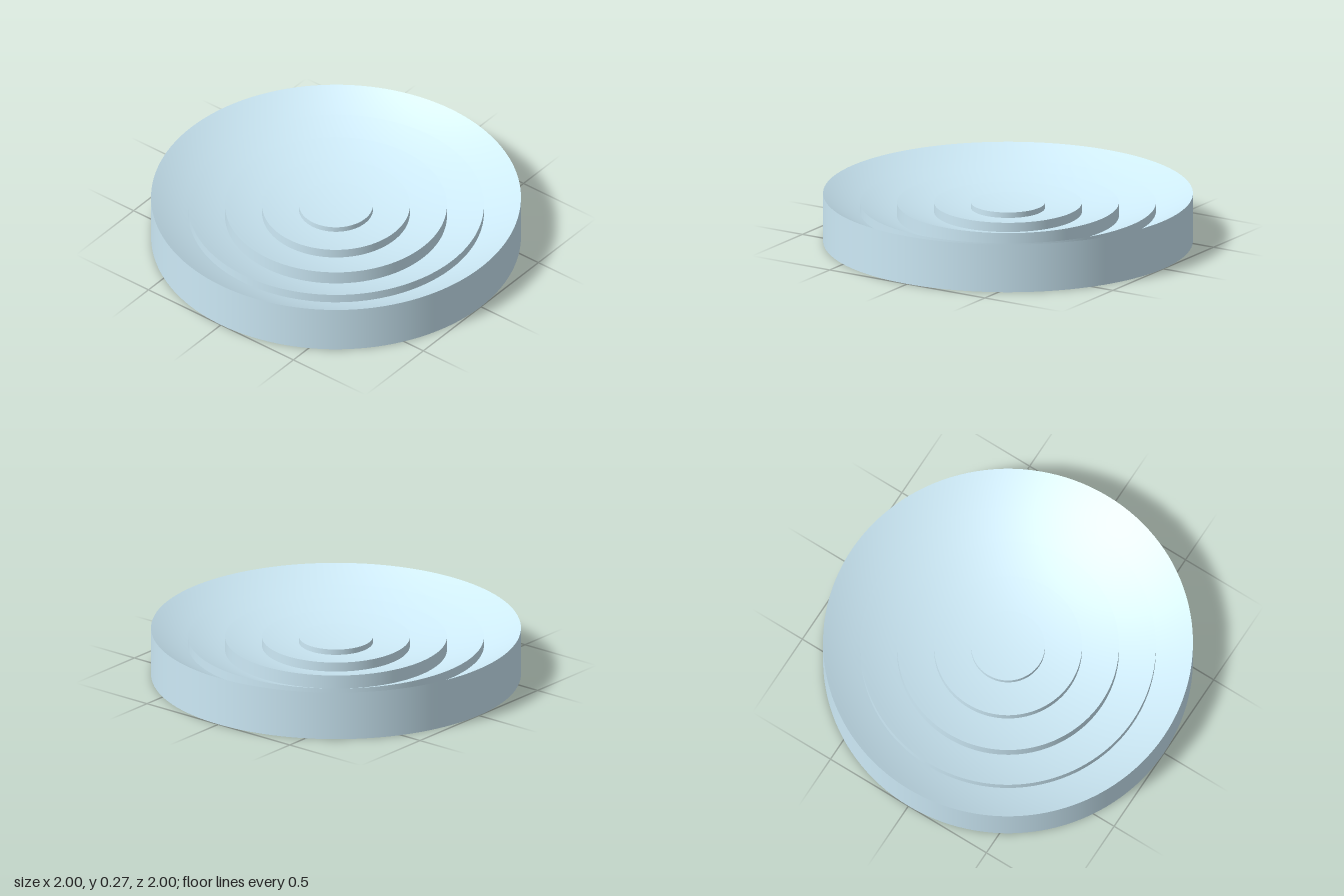
import * as THREE from 'three';

const SEGMENTS = 128;
const CURVE_RADIUS = 2;   // radius of the concave sphere the zones are cut from
const CREST = 0.217;      // shared height of the inner ridges
const ZONE_WIDTH = 0.2;
const ZONES = 5;
const BACK_DEPTH = 0.07;  // how far the hollow underside rises at its centre

// Height of the concave sphere above its lowest point
const sag = (r) => CURVE_RADIUS - Math.sqrt(CURVE_RADIUS ** 2 - r * r);

export function createModel() {
  const lens = new THREE.Group();
  lens.name = 'steppedLens';
  const material = new THREE.MeshStandardMaterial({ color: 0xcdeaf7 });

  // Each stretch of the profile is its own lathe, so the ridges stay sharp.
  // Profiles run outward along the underside, up the rim, then inward over the top.
  const turn = (name, profile) => {
    const points = profile.map(([r, y]) => new THREE.Vector2(r, y));
    const mesh = new THREE.Mesh(new THREE.LatheGeometry(points, SEGMENTS), material);
    mesh.name = name;
    lens.add(mesh);
  };

  // Gently hollowed underside and cylindrical rim
  const back = [];
  for (let k = 0; k <= 24; k++) {
    const r = k / 24;
    back.push([r, BACK_DEPTH * (1 - r * r)]);
  }
  turn('underside', back);
  turn('rim', [[1, 0], [1, sag(1)]]);

  // Concave zones from the rim to the centre, each with a riser at its inner edge
  for (let i = ZONES; i >= 1; i--) {
    const outer = i * ZONE_WIDTH;
    const inner = outer - ZONE_WIDTH;
    const lift = i === ZONES ? 0 : CREST - sag(outer);
    const profile = [];
    for (let k = 0; k <= 8; k++) {
      const r = i === 1 && k === 8 ? 0 : outer - (ZONE_WIDTH * k) / 8;
      profile.push([r, sag(r) + lift]);
    }
    turn(`zone${i}`, profile);
    if (i > 1) turn(`riser${i - 1}`, [[inner, sag(inner) + lift], [inner, CREST]]);
  }

  return lens;
}
